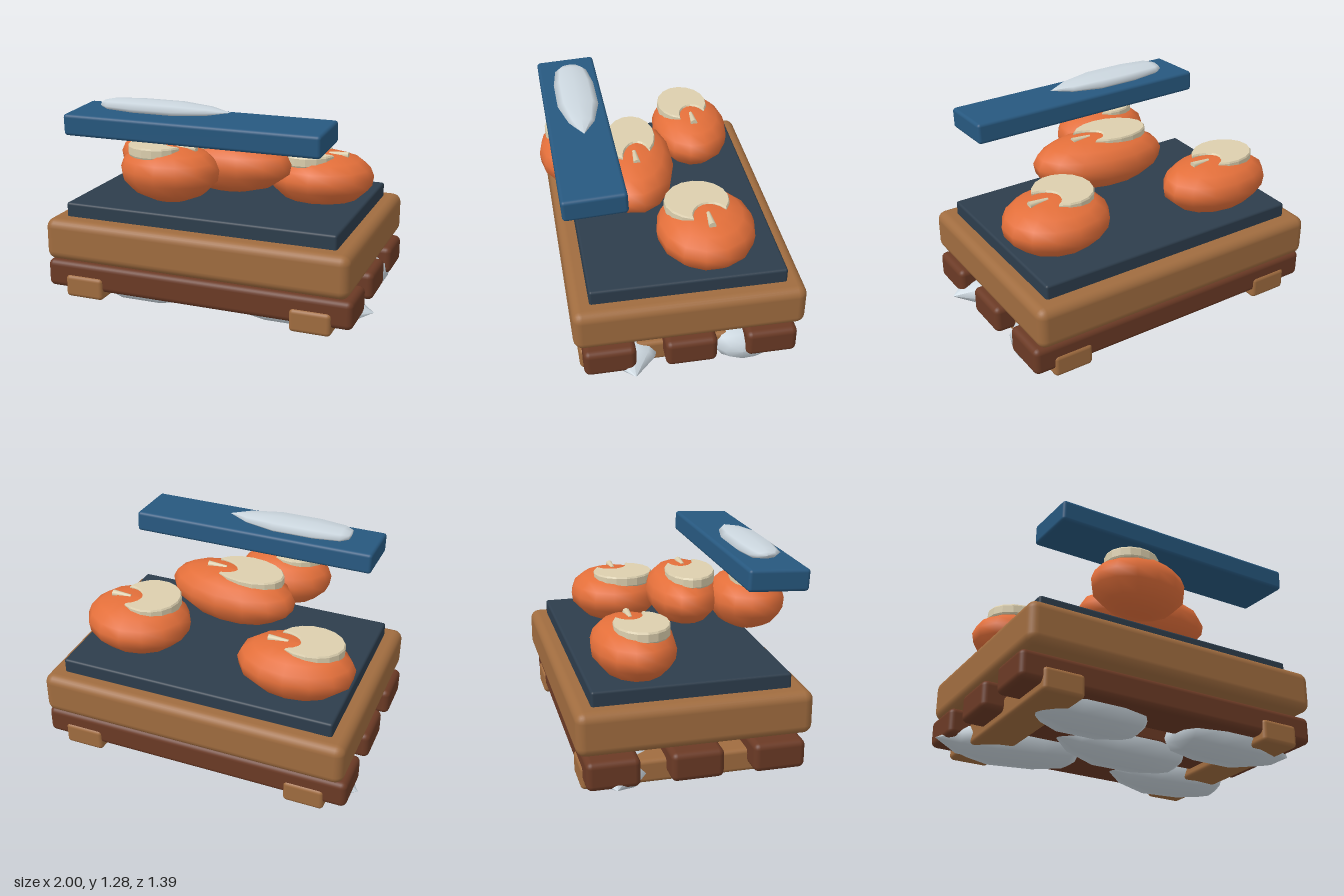
import * as THREE from 'three';
import { RoundedBoxGeometry } from 'three/addons/geometries/RoundedBoxGeometry.js';

const mat = (color) => new THREE.MeshStandardMaterial({ color });
const deg = THREE.MathUtils.degToRad;

export function createModel() {
  const model = new THREE.Group();
  const wood = mat(0xa06c3f), darkWood = mat(0x6b3a25), slate = mat(0x2d3d4c);
  const blue = mat(0x27587f), orange = mat(0xe36f3a), cream = mat(0xdccfae), pale = mat(0xcbd6de);

  const add = (parent, name, geometry, material, x = 0, y = 0, z = 0) => {
    const mesh = new THREE.Mesh(geometry, material);
    mesh.name = name;
    mesh.position.set(x, y, z);
    parent.add(mesh);
    return mesh;
  };
  // Rounded block given by its extents on each axis
  const block = (name, [x0, x1], [y0, y1], [z0, z1], r, material) =>
    add(model, name, new RoundedBoxGeometry(x1 - x0, y1 - y0, z1 - z0, 3, r), material,
      (x0 + x1) / 2, (y0 + y1) / 2, (z0 + z1) / 2);

  // Base: tray, inset slab, cross planks and runners
  block('tray', [-0.95, 0.93], [0.295, 0.55], [-0.7, 0.635], 0.055, wood);
  block('insetSlab', [-0.85, 0.83], [0.5, 0.635], [-0.6, 0.53], 0.015, slate);
  for (const z of [0.435, -0.035, -0.505])
    block('plank', [-0.97, 0.945], [0.105, 0.275], [z - 0.15, z + 0.15], 0.035, darkWood);
  for (const x of [-0.718, 0.703])
    block('runner', [x - 0.123, x + 0.123], [0.057, 0.195], [-0.665, 0.6], 0.025, wood);

  // Raised bar, dipping slightly towards the front
  const bar = block('raisedBar', [-0.78, 0.755], [1.086, 1.213], [0.287, 0.642], 0.02, blue);
  bar.rotation.x = 0.05;

  // Pale shards: blunt at one end, pointed at the other, pointing along +x
  const shardProfile = [[0, -0.5], [0.5, -0.49], [0.8, -0.43], [1, -0.22], [1, 0.1], [0.62, 0.34], [0, 0.5]]
    .map(([r, y]) => new THREE.Vector2(r / 2, y));
  const shardGeometry = new THREE.LatheGeometry(shardProfile, 8).rotateZ(-Math.PI / 2);
  const shard = (name, pos, size, yaw) => {
    const mesh = add(model, name, shardGeometry, pale, ...pos);
    mesh.scale.set(...size);
    mesh.rotation.y = yaw;
  };
  shard('topShard', [-0.215, 1.248, 0.45], [0.79, 0.075, 0.24], 0);
  const lower = [
    [0.575, 0.3, 0.85, 0], [0.53, -0.4, 0.78, Math.PI - 0.15], [0, -0.09, 0.86, Math.PI],
    [-0.58, -0.4, 0.86, Math.PI - 0.22], [-0.46, 0.3, 0.76, Math.PI],
  ];
  for (const [x, z, length, yaw] of lower)
    shard('lowerShard', [x, 0.118, z], [length, 0.23, 0.42], yaw);

  // Rounded lump in unit width, with a crescent cap and a small peg
  const lumpProfile = [[0, -0.165], [0.36, -0.16], [0.72, -0.115], [0.97, -0.04], [1, 0.02],
    [0.93, 0.075], [0.74, 0.122], [0.42, 0.152], [0, 0.16]].map(([r, y]) => new THREE.Vector2(r, y));
  const lumpGeometry = new THREE.LatheGeometry(lumpProfile, 14);

  const outline = [];
  const arc = (cx, cz, rx, rz, a, b, n) => {
    for (let i = 0; i <= n; i++) {
      const t = deg(a + (b - a) * i / n);
      outline.push(new THREE.Vector2(cx + rx * Math.cos(t), -(cz + rz * Math.sin(t))));
    }
  };
  arc(-0.22, 0.14, 0.56, 0.66, 16, 308, 14);
  arc(0.29, -0.04, 0.36, 0.36, 240, 90, 8);
  const capGeometry = new THREE.ExtrudeGeometry(new THREE.Shape(outline), {
    depth: 0.045, bevelEnabled: true, bevelThickness: 0.01, bevelSize: 0.02, bevelOffset: -0.02, bevelSegments: 1,
  }).rotateX(-Math.PI / 2);
  const pegGeometry = new THREE.CylinderGeometry(0.022, 0.013, 0.12, 8).rotateZ(-Math.PI / 2);

  // x, y, z, half width, half depth, yaw
  const lumps = [
    [-0.53, 0.755, -0.3, 0.35, 0.24, 0], [0.525, 0.75, -0.185, 0.325, 0.285, 0],
    [0.035, 0.88, 0.14, 0.415, 0.225, -0.15], [-0.19, 0.88, 0.47, 0.295, 0.225, 0],
  ];
  for (const [x, y, z, rx, rz, yaw] of lumps) {
    const group = new THREE.Group();
    group.name = 'cappedLump';
    group.position.set(x, y, z);
    group.rotation.y = yaw;
    model.add(group);
    add(group, 'lumpBody', lumpGeometry, orange).scale.set(rx, 1, rz);
    add(group, 'crescentCap', capGeometry, cream, 0, 0.113, 0).scale.set(rx, 1, rz);
    add(group, 'peg', pegGeometry, cream, 0.11, 0.15, 0).rotation.y = -yaw;
  }
  return model;
}
